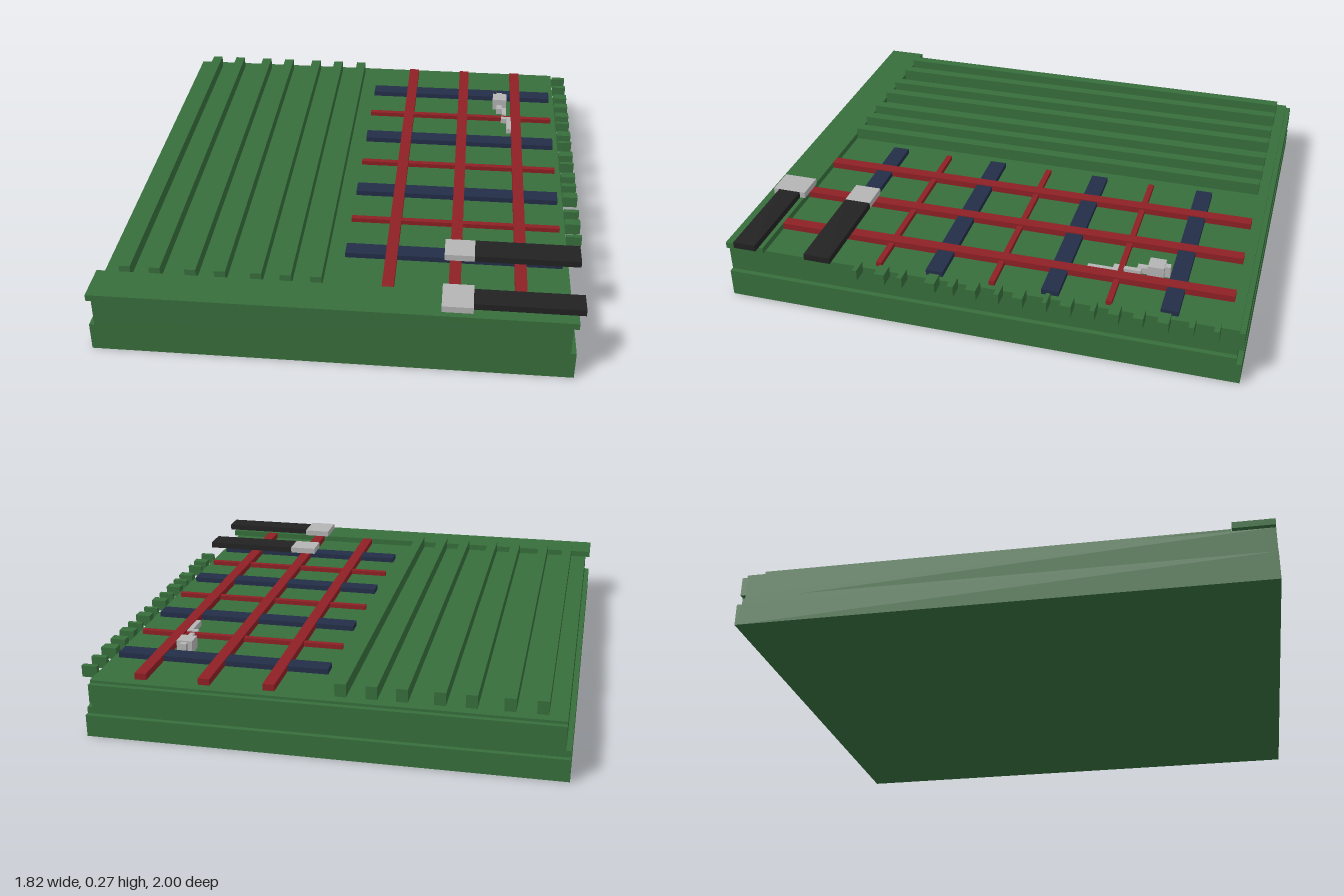
import * as THREE from 'three';

const mat = (name, color) => {
  const m = new THREE.MeshStandardMaterial({ color });
  m.name = name;
  return m;
};

export function createModel() {
  const model = new THREE.Group();
  model.name = 'gridDeck';
  const green = mat('green', 0x376e3c);
  const red = mat('red', 0x8e2025);
  const navy = mat('navy', 0x232e48);
  const black = mat('black', 0x222222);
  const grey = mat('grey', 0xb4b4b4);

  // Box from its minimum and maximum on each axis
  const box = (name, material, [x0, x1], [y0, y1], [z0, z1]) => {
    const mesh = new THREE.Mesh(new THREE.BoxGeometry(x1 - x0, y1 - y0, z1 - z0), material);
    mesh.position.set((x0 + x1) / 2, (y0 + y1) / 2, (z0 + z1) / 2);
    mesh.name = name;
    model.add(mesh);
  };

  // Side profile of [z, y] points swept along x
  const sweep = (name, points, x0, x1) => {
    const shape = new THREE.Shape(points.map(([z, y]) => new THREE.Vector2(-z, y)));
    const geo = new THREE.ExtrudeGeometry(shape, { depth: x1 - x0, bevelEnabled: false });
    geo.rotateY(Math.PI / 2).translate(x0, 0, 0);
    const mesh = new THREE.Mesh(geo, green);
    mesh.name = name;
    model.add(mesh);
  };

  // Body: wide base and narrower upper block, sharing a groove along the back
  sweep('base', [[1, 0], [1, 0.11], [-0.98, 0.11], [-0.98, 0.085], [-1, 0.085], [-1, 0]], -0.91, 0.865);
  sweep('upperBlock', [[1, 0.11], [1, 0.22], [-0.98, 0.22], [-0.98, 0.21], [-1, 0.21],
    [-1, 0.135], [-0.98, 0.135], [-0.98, 0.11]], -0.89, 0.845);
  box('frontLip', green, [-0.91, 0.865], [0.22, 0.245], [0.845, 1]);

  // Long ribs on the right-hand half of the deck
  for (const x of [-0.803, -0.69, -0.556, -0.445, -0.31, -0.2, -0.087])
    box('rib', green, [x - 0.021, x + 0.021], [0.22, 0.27], [-0.94, 0.845]);

  // Lattice of long bars and cross bars
  for (const x of [0.177, 0.421, 0.664])
    box('longBar', red, [x - 0.022, x + 0.022], [0.22, 0.245], [-0.94, 0.845]);
  for (const z of [-0.725, -0.283, 0.164, 0.608])
    box('wideCrossBar', navy, [0, 0.823], [0.22, 0.241], [z - 0.033, z + 0.033]);
  for (const z of [-0.503, -0.06, 0.386])
    box('thinCrossBar', red, [0, 0.823], [0.22, 0.238], [z - 0.011, z + 0.011]);

  // Teeth along the side edge: [centre z, half width]
  const teeth = [[-0.904, 0.01], [-0.815, 0.01], [-0.714, 0.021], [-0.625, 0.019], [-0.536, 0.02],
    [-0.459, 0.009], [-0.36, 0.021], [-0.283, 0.008], [-0.181, 0.02], [-0.102, 0.009], [-0.004, 0.02],
    [0.075, 0.012], [0.155, 0.02], [0.273, 0.01], [0.353, 0.02], [0.451, 0.009]];
  for (const [z, h] of teeth)
    box('tooth', green, [0.845, 0.905], [0.2, 0.245], [z - h, z + h]);

  // Two dark handles with pale end blocks
  box('rearHandle', black, [0.492, 0.89], [0.245, 0.27], [0.555, 0.66]);
  box('rearHandleEnd', grey, [0.378, 0.492], [0.245, 0.27], [0.555, 0.66]);
  box('frontHandle', black, [0.492, 0.89], [0.245, 0.27], [0.862, 0.952]);
  box('frontHandleEnd', grey, [0.378, 0.492], [0.245, 0.27], [0.84, 0.976]);

  // Small stepped pale piece: x range, z range, top
  const steps = [
    [[0.577, 0.602], [-0.688, -0.667], 0.265],
    [[0.56, 0.622], [-0.667, -0.605], 0.27],
    [[0.577, 0.602], [-0.605, -0.563], 0.245],
    [[0.602, 0.622], [-0.58, -0.515], 0.243],
    [[0.598, 0.622], [-0.495, -0.475], 0.243],
    [[0.622, 0.645], [-0.495, -0.38], 0.243],
  ];
  for (const [x, z, top] of steps) box('steppedPiece', grey, x, [0.22, top], z);

  return model;
}
